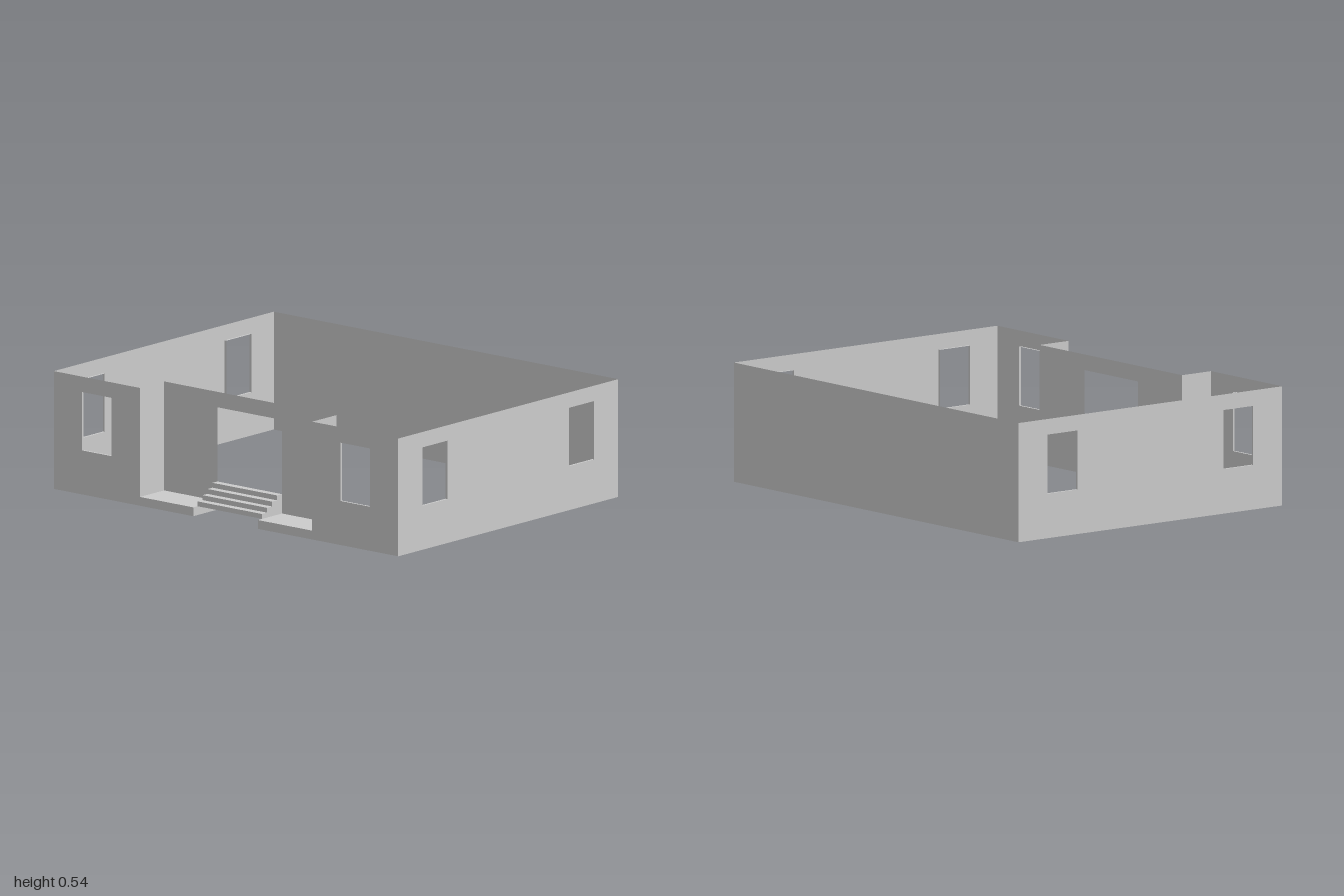
import * as THREE from 'three';

const H = 0.535, FRONT = 0.75, RECESS = 0.585;
const SILL = 0.2, HEAD = 0.465, REVEAL = 0.01;
const DOOR_R = -0.19, DOOR_L = 0.185, LEDGE = 0.04;

const material = new THREE.MeshStandardMaterial({ color: 0xcccccc, flatShading: true, side: THREE.DoubleSide });

function mesh(name, geometry) {
  const m = new THREE.Mesh(geometry, material);
  m.name = name;
  return m;
}

function polygon(points) {
  return new THREE.Shape(points.map(([x, y]) => new THREE.Vector2(x, y)));
}

// Thin upright wall from a to b; each window is the centre of an opening with an inward reveal
function wall(name, a, b, windows = [], inward = -1) {
  const group = new THREE.Group();
  group.name = name;
  const shape = polygon([[a, 0], [b, 0], [b, H], [a, H]]);
  for (const c of windows) {
    const w = 0.17, h = HEAD - SILL;
    const l = c - w / 2, r = c + w / 2;
    shape.holes.push(polygon([[l, SILL], [l, HEAD], [r, HEAD], [r, SILL]]));
    // Box without its front and back: only the four lining faces remain
    const lining = new THREE.BoxGeometry(w, h, REVEAL);
    lining.setIndex(Array.from(lining.index.array).slice(0, 24));
    lining.clearGroups();
    lining.translate(c, (SILL + HEAD) / 2, inward * REVEAL / 2);
    group.add(mesh('windowReveal', lining));
  }
  group.add(mesh('wallFace', new THREE.ShapeGeometry(shape)));
  return group;
}

// Horizontal rectangle
function slab(name, x0, x1, z0, z1, y) {
  const g = new THREE.PlaneGeometry(x1 - x0, z1 - z0).rotateX(-Math.PI / 2);
  return mesh(name, g.translate((x0 + x1) / 2, y, (z0 + z1) / 2));
}

// Vertical rectangle facing the front
function riser(name, x0, x1, y0, y1, z) {
  const g = new THREE.PlaneGeometry(x1 - x0, y1 - y0);
  return mesh(name, g.translate((x0 + x1) / 2, (y0 + y1) / 2, z));
}

export function createModel() {
  const model = new THREE.Group();
  model.name = 'building';

  // Back wall
  const back = wall('backWall', -1, 1);
  back.position.z = -FRONT;
  model.add(back);

  for (const s of [-1, 1]) {
    const side = s > 0 ? 'left' : 'right';

    // Side wall with two windows (shape x runs along z)
    const sideWall = wall(side + 'Wall', -FRONT, FRONT, [-0.5, 0.5], s);
    sideWall.rotation.y = -Math.PI / 2;
    sideWall.position.x = s;
    model.add(sideWall);

    // Front wing with one window
    const wing = wall(side + 'FrontWall', s > 0 ? 0.5 : -1, s > 0 ? 1 : -0.5, [s * 0.75]);
    wing.position.z = FRONT;
    model.add(wing);

    // Side of the entrance recess
    const cheek = wall(side + 'RecessWall', RECESS, FRONT);
    cheek.rotation.y = -Math.PI / 2;
    cheek.position.x = s * 0.5;
    model.add(cheek);

    // Low ledge beside the stairs
    const x0 = s > 0 ? DOOR_L : -0.5, x1 = s > 0 ? 0.5 : DOOR_R;
    model.add(slab(side + 'Ledge', x0, x1, RECESS, FRONT, LEDGE));
    model.add(riser(side + 'LedgeFront', x0, x1, 0, LEDGE, FRONT));
  }

  // Recessed wall with door opening down to the ground
  model.add(mesh('doorWall', new THREE.ShapeGeometry(polygon([
    [-0.5, 0], [DOOR_R, 0], [DOOR_R, HEAD], [DOOR_L, HEAD],
    [DOOR_L, 0], [0.5, 0], [0.5, H], [-0.5, H],
  ])).translate(0, 0, RECESS)));

  // Entrance stairs: open underneath, with stepped sides reaching the ground
  const stairs = new THREE.Group();
  stairs.name = 'stairs';
  const steps = 4, top = 0.128, run = 0.034, rise = (top - LEDGE) / steps;
  const profile = [[FRONT, LEDGE], [FRONT, 0], [RECESS, 0], [RECESS, top]];
  for (let i = 0; i < steps; i++) {
    const y = top - i * rise, z = RECESS + i * run;
    stairs.add(slab('tread', DOOR_R, DOOR_L, z, z + run, y));
    stairs.add(riser('riser', DOOR_R, DOOR_L, y - rise, y, z + run));
    profile.push([z + run, y], [z + run, y - rise]);
  }
  for (const x of [DOOR_R, DOOR_L]) {
    const g = new THREE.ShapeGeometry(polygon(profile)).rotateY(-Math.PI / 2);
    stairs.add(mesh('stairSide', g.translate(x, 0, 0)));
  }
  model.add(stairs);

  return model;
}
